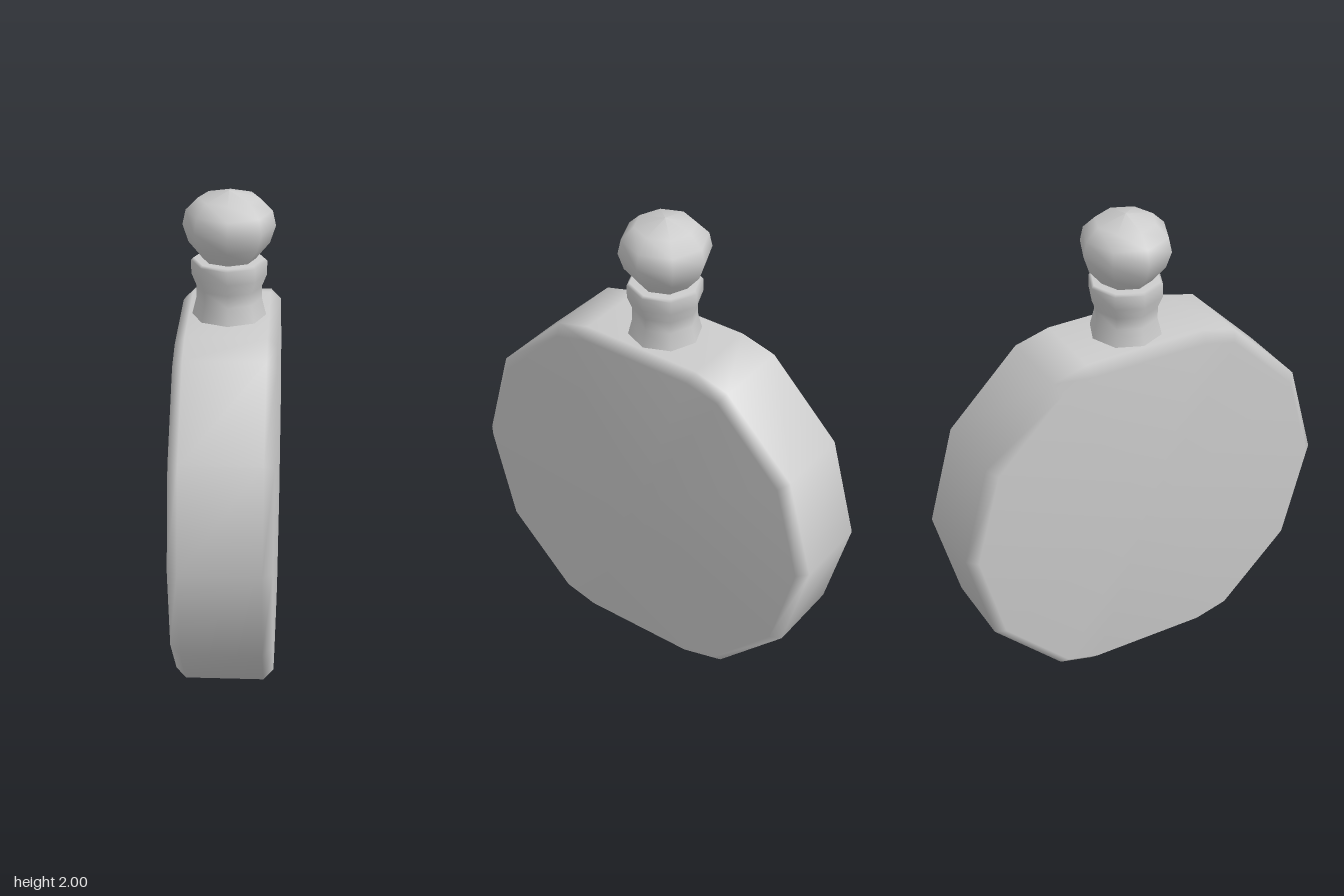
import * as THREE from 'three';

const material = new THREE.MeshStandardMaterial({ color: 0xcccccc, side: THREE.DoubleSide });

function addMesh(group, name, geometry) {
  const mesh = new THREE.Mesh(geometry, material);
  mesh.name = name;
  group.add(mesh);
}

// Eight-sided turned part from [radius, height] pairs, bottom to top
function turned(profile) {
  return new THREE.LatheGeometry(profile.map(([r, y]) => new THREE.Vector2(r, y)), 8);
}

// Twelve-sided disc standing on a flat, with chamfered rims
function flaskBody() {
  const radius = 0.815, half = 0.745, flat = 0.26;
  const outline = [];
  for (let i = 0; i < 12; i++) {
    if (i === 3) outline.push([flat, half], [-flat, half]);
    else if (i === 9) outline.push([-flat, -half], [flat, -half]);
    else {
      const a = (i * Math.PI) / 6;
      outline.push([radius * Math.cos(a), radius * Math.sin(a)]);
    }
  }
  const n = outline.length;
  const rings = [[-0.2, 0.95], [-0.16, 1], [0.16, 1], [0.2, 0.95]];
  const positions = [], index = [];
  for (const [x, s] of rings) {
    for (const [z, y] of outline) positions.push(x, half + y * s, z * s);
  }
  const left = positions.length / 3, right = left + 1;
  positions.push(-0.2, half, 0, 0.2, half, 0);
  const last = (rings.length - 1) * n;
  for (let i = 0; i < n; i++) {
    const j = (i + 1) % n;
    // Rim and chamfers
    for (let k = 0; k < last; k += n) {
      index.push(k + i, k + n + i, k + n + j, k + i, k + n + j, k + j);
    }
    // Broad faces
    index.push(left, i, j, right, last + j, last + i);
  }
  const geometry = new THREE.BufferGeometry();
  geometry.setAttribute('position', new THREE.Float32BufferAttribute(positions, 3));
  geometry.setIndex(index);
  geometry.computeVertexNormals();
  return geometry;
}

export function createModel() {
  const group = new THREE.Group();
  group.name = 'flask';

  addMesh(group, 'body', flaskBody());

  // Waisted neck with a flared lip
  addMesh(group, 'neck', turned([
    [0.15, 1.48], [0.13, 1.56], [0.13, 1.61], [0.15, 1.66], [0.15, 1.715], [0.14, 1.725], [0, 1.725],
  ]));

  // Rounded stopper
  addMesh(group, 'stopper', turned([
    [0.09, 1.7], [0.11, 1.73], [0.16, 1.79], [0.183, 1.86], [0.17, 1.92], [0.12, 1.97], [0, 2],
  ]));

  return group;
}
